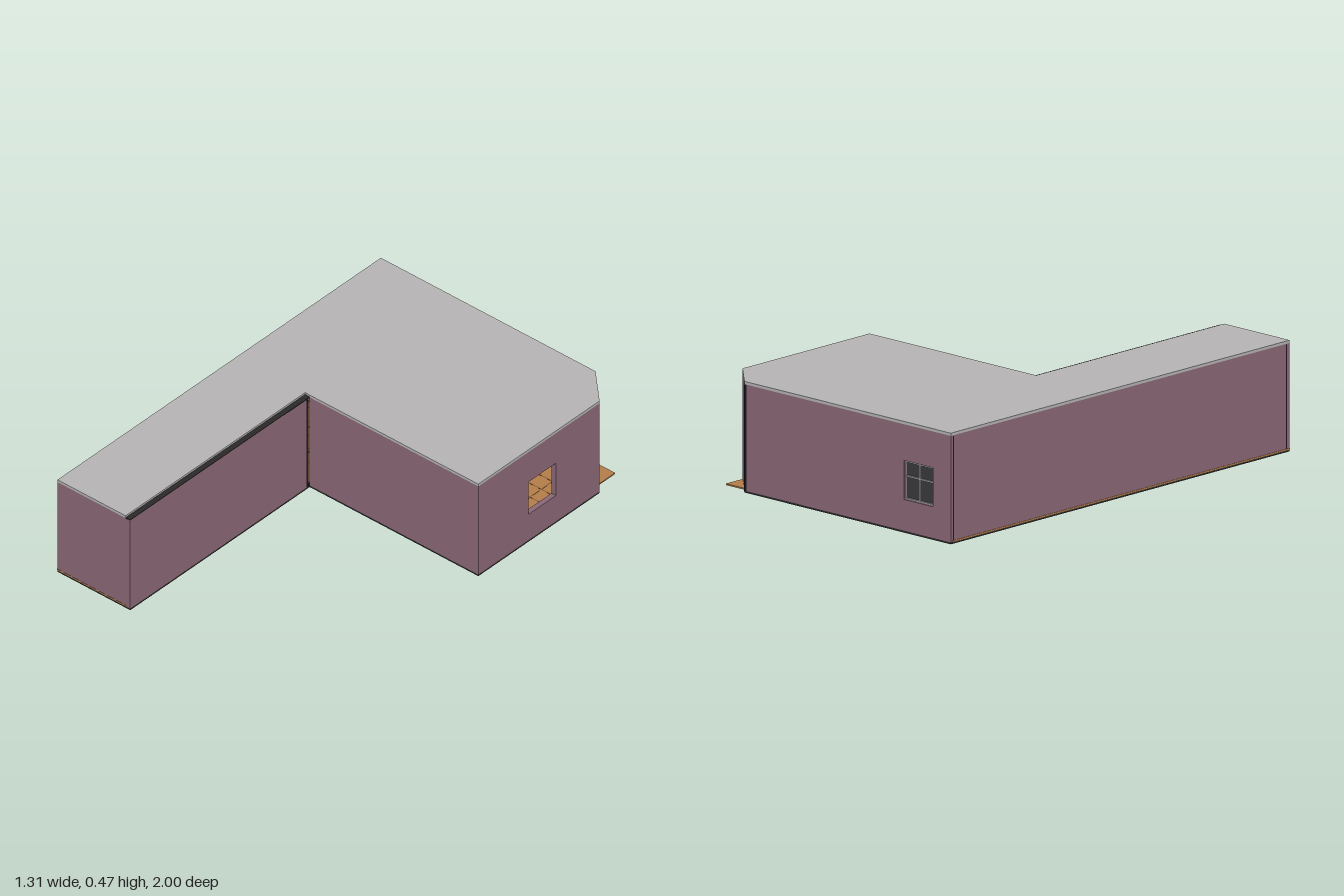
import * as THREE from 'three';

export function createModel() {
  const model = new THREE.Group();
  const mat = (name, color) => {
    const m = new THREE.MeshStandardMaterial({ color });
    m.name = name;
    return m;
  };
  const plaster = mat('mauve plaster', 0x8a6876);
  const roofGrey = mat('roof grey', 0xb4b2b2);
  const wood = mat('floor wood', 0xb27c48);
  const woodDark = mat('board gap brown', 0x7a5230);
  const dark = mat('base charcoal', 0x2b2828);
  const seam = mat('dark seam', 0x1e1424);
  const frameGrey = mat('frame grey', 0xa39da0);
  const glass = mat('dark glass', 0x3a383c);

  const add = (name, geo, material, parent = model) => {
    const mesh = new THREE.Mesh(geo, material);
    mesh.name = name;
    parent.add(mesh);
    return mesh;
  };
  // Box given by its minimum and maximum corners
  const box = (name, a, b, material, parent) => {
    const mesh = add(name, new THREE.BoxGeometry(b[0] - a[0], b[1] - a[1], b[2] - a[2]), material, parent);
    mesh.position.set((a[0] + b[0]) / 2, (a[1] + b[1]) / 2, (a[2] + b[2]) / 2);
    return mesh;
  };
  // Flat slab from a plan outline of [x, z] points
  const slab = (name, plan, y, height, material) => {
    const shape = new THREE.Shape(plan.map(([x, z]) => new THREE.Vector2(x, -z)));
    const geo = new THREE.ExtrudeGeometry(shape, { depth: height, bevelEnabled: false });
    geo.rotateX(-Math.PI / 2);
    add(name, geo, material).position.y = y;
  };

  // Base, wooden floor with one corner left showing, and flat roof
  slab('baseSlab', [[-0.655, -1], [0.51, -1], [0.655, -0.86], [0.655, -0.11], [-0.26, -0.11], [-0.26, 1], [-0.655, 1]], 0, 0.008, dark);
  slab('woodenFloor', [[-0.657, -0.99], [0.625, -0.99], [0.625, -0.12], [-0.28, -0.12], [-0.28, 1.001], [-0.657, 1.001]], 0.008, 0.006, wood);
  slab('roof', [[-0.655, -1], [0.51, -1], [0.655, -0.86], [0.655, -0.11], [-0.285, -0.11], [-0.285, 1], [-0.655, 1]], 0.458, 0.012, roofGrey);

  // Gaps between the floor boards
  for (let i = 0; i < 11; i++) {
    const z = -0.92 + i * 0.07;
    box('boardGap', [-0.62, 0.014, z], [0.61 - Math.max(0, -0.78 - z), 0.0145, z + 0.004], woodDark);
  }
  for (let i = 0; i < 10; i++) {
    const x = -0.52 + i * 0.11;
    box('boardJoint', [x, 0.014, -0.92], [x + 0.004, 0.0145, -0.15], woodDark);
  }

  // Walls run round the plan with their thickness inward
  const T = 0.024, Y0 = 0.008, Y1 = 0.458;
  const wall = (name, ax, az, bx, bz, hole) => {
    const len = Math.hypot(bx - ax, bz - az);
    const rect = (P, x0, y0, x1, y1) => new P([[x0, y0], [x1, y0], [x1, y1], [x0, y1]].map(p => new THREE.Vector2(...p)));
    const shape = rect(THREE.Shape, 0, Y0, len, Y1);
    if (hole) shape.holes.push(rect(THREE.Path, hole[0], 0.14, hole[1], 0.305));
    const mesh = add(name, new THREE.ExtrudeGeometry(shape, { depth: T, bevelEnabled: false }), plaster);
    mesh.position.set(ax, 0, az);
    mesh.rotation.y = Math.atan2(az - bz, bx - ax);
  };
  wall('backWall', -0.655, -1, 0.505, -1, [0.1, 0.265]);
  wall('chamferWall', 0.51, -1, 0.655, -0.86);
  wall('leftWall', 0.655, -0.86, 0.655, -0.11, [0.27, 0.44]);
  wall('innerFrontWall', 0.655, -0.11, -0.26, -0.11);
  wall('wingInnerWall', -0.26, -0.09, -0.26, 1);
  wall('wingFrontWall', -0.26, 1, -0.655, 1);
  wall('rightWall', -0.655, 1, -0.655, -1);

  // Dark wall cap beside the roof and seams where walls meet
  box('wallCap', [-0.285, 0.455, -0.11], [-0.26, 0.461, 1], dark);
  box('innerCornerSeam', [-0.28, Y0, -0.1], [-0.259, 0.45, -0.09], seam);
  box('chamferSeam', [0.497, Y0, -1.001], [0.511, 0.455, -0.99], seam);
  for (const z of [-0.985, 0.98]) box('rightWallSeam', [-0.656, Y0, z - 0.003], [-0.65, 0.455, z + 0.003], seam);

  // Back window with glass and a cross of glazing bars
  const back = new THREE.Group();
  back.name = 'backWindow';
  model.add(back);
  box('pane', [-0.555, 0.14, -0.985], [-0.39, 0.305, -0.98], glass, back);
  box('uprightBar', [-0.476, 0.14, -0.992], [-0.469, 0.305, -0.985], frameGrey, back);
  box('crossBar', [-0.555, 0.235, -0.992], [-0.39, 0.242, -0.985], frameGrey, back);
  for (const x of [-0.555, -0.397]) box('frameSide', [x, 0.14, -0.994], [x + 0.007, 0.305, -0.98], frameGrey, back);
  for (const y of [0.14, 0.298]) box('frameRail', [-0.555, y, -0.994], [-0.39, y + 0.007, -0.98], frameGrey, back);

  // Dark strips on the far wall behind the open window
  box('farStrip', [-0.631, 0.14, -0.437], [-0.626, 0.305, -0.427], seam);
  box('farStrip', [-0.631, 0.14, -0.548], [-0.626, 0.29, -0.538], seam);
  box('farLintel', [-0.631, 0.272, -0.59], [-0.626, 0.29, -0.538], seam);

  return model;
}
